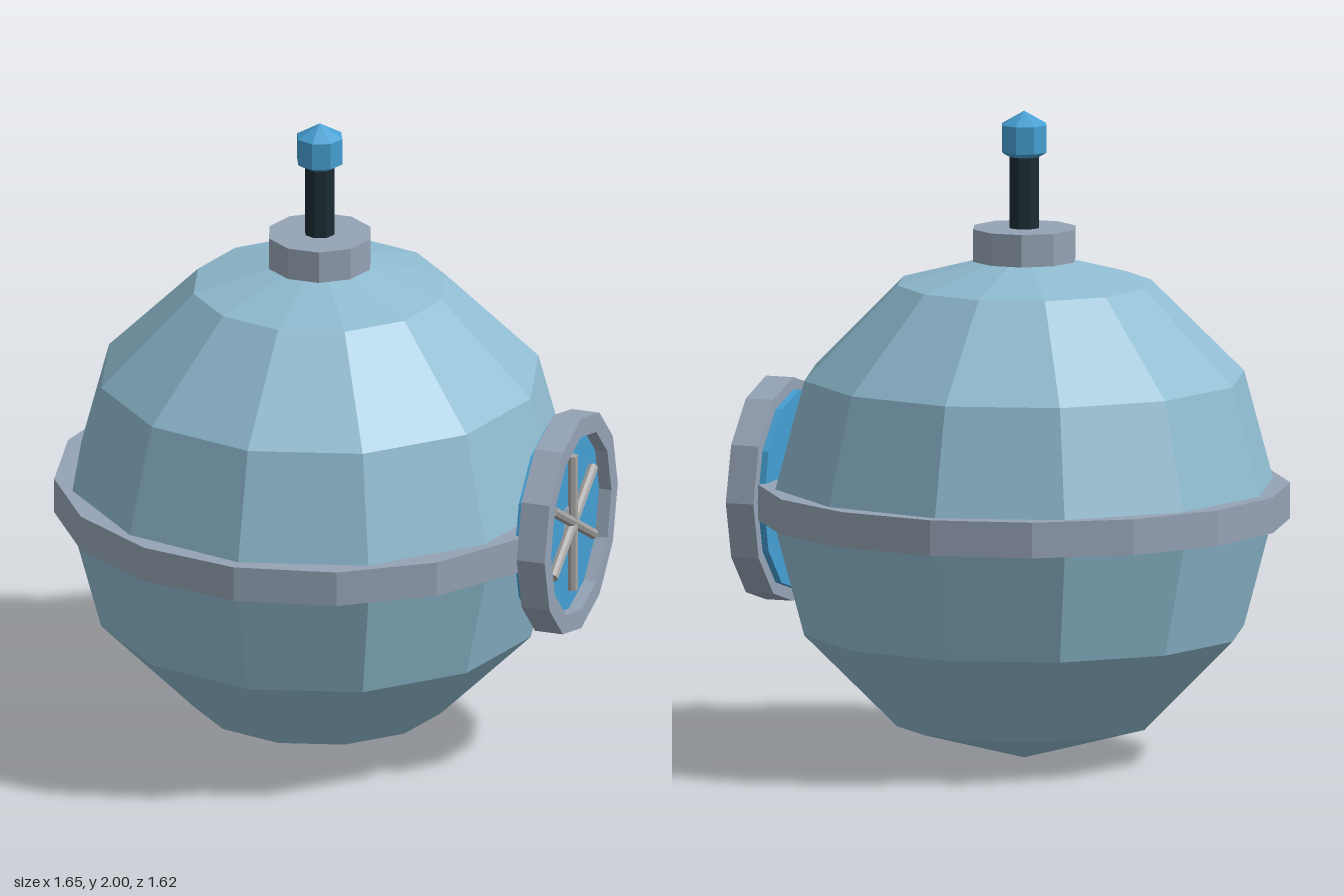
import * as THREE from 'three';

const mat = (name, color) => {
  const m = new THREE.MeshStandardMaterial({ color, flatShading: true });
  m.name = name;
  return m;
};

export function createModel() {
  const shell = mat('pale blue shell', 0x8fbbd0);
  const metal = mat('grey metal', 0x95a3b5);
  const glass = mat('bright blue', 0x469fd3);
  const dark = mat('dark pole', 0x1c2b33);
  const steel = mat('steel bars', 0xa6a5a3);

  const model = new THREE.Group();
  const cx = -0.018, cy = 0.79;
  const add = (name, geo, material, x, y, z = 0, parent = model) => {
    const mesh = new THREE.Mesh(geo, material);
    mesh.name = name;
    mesh.position.set(x, y, z);
    parent.add(mesh);
    return mesh;
  };

  // Faceted ball and its belt
  add('body', new THREE.SphereGeometry(0.785, 12, 6), shell, cx, cy);
  add('belt', new THREE.CylinderGeometry(0.812, 0.812, 0.11, 16), metal, cx, 0.795);

  // Collar, pole and knob on top
  const collar = new THREE.CylinderGeometry(0.162, 0.162, 0.1, 10).rotateY(Math.PI / 2);
  add('collar', collar, metal, cx, 1.59);
  add('pole', new THREE.CylinderGeometry(0.048, 0.048, 0.27, 8), dark, cx, 1.745);
  add('knob', new THREE.SphereGeometry(0.084, 8, 3), glass, cx, 1.916);

  // Round hatch on the left side, built facing +z and turned to +x
  const hatch = new THREE.Group();
  hatch.name = 'hatch';
  hatch.position.set(0.735, 0.793, 0);
  hatch.rotation.y = Math.PI / 2;
  model.add(hatch);

  const ring = (r) => Array.from({ length: 12 }, (_, i) => {
    const a = (i * Math.PI) / 6;
    return new THREE.Vector2(r * Math.cos(a), r * Math.sin(a));
  });
  const rim = new THREE.Shape(ring(0.345));
  rim.holes.push(new THREE.Path(ring(0.285).reverse()));
  const rimGeo = new THREE.ExtrudeGeometry(rim, { depth: 0.09, bevelEnabled: false });
  add('hatchRim', rimGeo, metal, 0, 0, 0, hatch);

  const pane = new THREE.CylinderGeometry(0.308, 0.308, 0.07, 12).rotateX(Math.PI / 2);
  add('hatchPane', pane, glass, 0, 0, 0.015, hatch);

  // Three crossed bars
  for (let i = 0; i < 3; i++) {
    const bar = new THREE.CylinderGeometry(0.017, 0.017, 0.44, 8);
    add('hatchBar', bar, steel, 0, 0, 0.063, hatch).rotation.z = (i * Math.PI) / 3;
  }

  return model;
}
